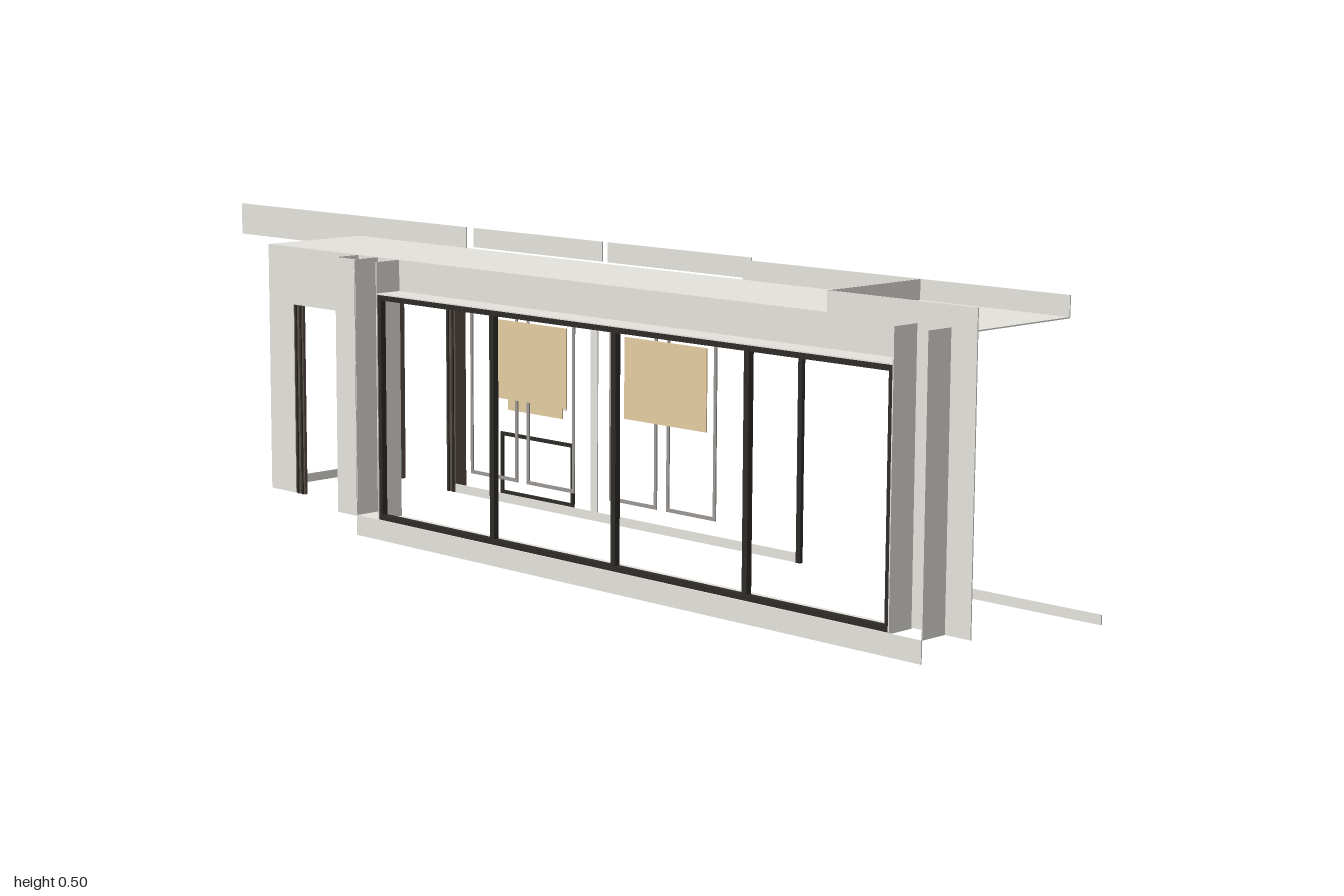
import * as THREE from 'three';

export function createModel() {
  const model = new THREE.Group();
  const mat = (name, color) => {
    const m = new THREE.MeshStandardMaterial({ color });
    m.name = name;
    return m;
  };
  const render = mat('paleGreyRender', 0xe5e3dd);
  const black = mat('blackMetal', 0x2e2b28);
  const brown = mat('darkBrownWood', 0x584c45);
  const tan = mat('tanPanel', 0xe5cea1);
  const trim = mat('greyTrim', 0x9b9894);
  const T = 0.002; // sheet thickness

  // Box given by its limits on each axis
  function box(name, m, x0, x1, y0, y1, z0, z1, parent = model) {
    const mesh = new THREE.Mesh(new THREE.BoxGeometry(x1 - x0, y1 - y0, z1 - z0), m);
    mesh.position.set((x0 + x1) / 2, (y0 + y1) / 2, (z0 + z1) / 2);
    mesh.name = name;
    parent.add(mesh);
    return mesh;
  }
  // Upright sheets: one facing z, one facing x
  const sheetZ = (name, m, x0, x1, y0, y1, z) => box(name, m, x0, x1, y0, y1, z - T / 2, z + T / 2);
  const sheetX = (name, m, x, y0, y1, z0, z1) => box(name, m, x - T / 2, x + T / 2, y0, y1, z0, z1);

  // Rectangular frame with bars of width w and depth d, optionally open at the foot
  function frame(name, m, x0, x1, y0, y1, z, w, d, sill = true) {
    const g = new THREE.Group();
    g.name = name;
    const a = z - d / 2, b = z + d / 2;
    box('leftBar', m, x1 - w, x1, y0, y1, a, b, g);
    box('rightBar', m, x0, x0 + w, y0, y1, a, b, g);
    box('topBar', m, x0 + w, x1 - w, y1 - w, y1, a, b, g);
    if (sill) box('bottomBar', m, x0 + w, x1 - w, y0, y0 + w, a, b, g);
    model.add(g);
    return g;
  }

  const F = 0.094, B = -0.111, BAY = 0.144; // front wall, back line, bay front
  const L = -0.63, R = 0.931, FLOOR = 0.034, CEIL = 0.465, TOP = 0.496, STEP = 0.66;

  // Front wall with a door opening, a wide window opening and a raised parapet at one end
  const wall = new THREE.Shape();
  wall.moveTo(L, FLOOR);
  [[-0.562, FLOOR], [-0.562, 0.365], [-0.385, 0.365], [-0.385, FLOOR], [-0.28, FLOOR], [-0.28, 0.41],
    [0.825, 0.41], [0.825, FLOOR], [R, FLOOR], [R, TOP], [STEP, TOP], [STEP, CEIL], [L, CEIL]]
    .forEach(([x, y]) => wall.lineTo(x, y));
  wall.closePath();
  const wallMesh = new THREE.Mesh(
    new THREE.ExtrudeGeometry(wall, { depth: T, bevelEnabled: false }), render);
  wallMesh.position.z = F - T / 2;
  wallMesh.name = 'frontWall';
  model.add(wallMesh);

  // Roof: flat deck, cross upstand and back parapet
  box('roofDeck', render, L, R, CEIL - T, CEIL, B, F);
  sheetX('roofUpstand', render, STEP, CEIL, TOP, B, F);
  sheetZ('backParapet', render, 0.305, R, CEIL, TOP, B);
  box('ceilingStrip', black, -0.4, -0.36, CEIL - 2 * T, CEIL - T, -0.016, -0.002);

  // Boards along the back of the roof, the last one running past the end
  sheetZ('longBoard', render, -1, -0.365, 0.441, 0.498, -0.13);
  sheetZ('backBoard', render, -0.345, -0.028, CEIL, 0.498, -0.13);
  sheetZ('backBoard', render, -0.015, 0.305, CEIL, 0.498, -0.13);

  // Projecting bay: fins, pier, sill, header and base
  for (const x of [-0.385, -0.335, -0.28, 0.825, 0.885]) sheetX('bayFin', render, x, FLOOR, CEIL, F, BAY);
  sheetZ('pierFront', render, -0.385, -0.335, FLOOR, CEIL, BAY);
  box('baySill', render, -0.385, 0.825, FLOOR - T, FLOOR, F, BAY);
  box('bayHeader', render, -0.28, 0.825, 0.411, 0.413, F, BAY);
  sheetZ('bayBase', render, -0.335, 0.885, 0, FLOOR, BAY);

  // Wide front window with three mullions
  const win = frame('frontWindow', black, -0.28, 0.825, FLOOR, 0.411, 0.137, 0.009, 0.01);
  for (const x of [0, 0.275, 0.549]) box('mullion', black, x - 0.005, x + 0.005, 0.04, 0.405, 0.132, 0.142, win);

  // Front and back side-door portals, each jamb brown with black edges
  function jamb(name, x0, x1, top, z0, z1) {
    const g = new THREE.Group();
    g.name = name;
    box('board', brown, x0, x1, FLOOR, top, z0, z1, g);
    for (const x of [x0 + 0.006, x1 - 0.006])
      box('edge', black, x - 0.002, x + 0.002, FLOOR, top, z0 - 0.002, z1 + 0.002, g);
    model.add(g);
  }
  jamb('frontDoorJamb', -0.562, -0.538, 0.365, 0.089, 0.094);
  jamb('frontDoorJamb', -0.403, -0.385, 0.365, 0.089, 0.094);
  jamb('backDoorJamb', -0.562, -0.538, 0.363, -0.135, B);
  jamb('backDoorJamb', -0.398, -0.374, 0.363, -0.135, B);
  box('backDoorHeader', render, -0.538, -0.398, 0.36, 0.363, -0.135, B);
  box('backDoorHeaderLining', black, -0.538, -0.398, 0.354, 0.36, -0.135, B);

  // Garden door at the back
  frame('backDoorFrame', black, 0.425, 0.662, FLOOR, 0.376, B, 0.009, 0.006, false);

  // Slim back window frames and the post between the pairs
  for (const [x0, x1] of [[0.14, 0.25], [0.008, 0.118], [-0.192, -0.075], [-0.335, -0.215]])
    frame('backWindowFrame', trim, x0, x1, 0.073, 0.413, -0.112, 0.006, 0.002);
  box('backPost', render, -0.036, -0.02, FLOOR, CEIL - T, -0.113, -0.111);

  // Hanging panels and the low rail frame
  sheetZ('widePanel', tan, -0.275, -0.09, 0.215, 0.35, -0.107);
  sheetZ('widePanel', tan, 0.048, 0.233, 0.215, 0.35, -0.107);
  sheetZ('outerPanel', tan, -0.265, -0.13, 0.19, 0.335, -0.136);
  sheetZ('outerPanelBack', render, -0.268, -0.127, 0.203, 0.34, -0.143);
  frame('lowRail', black, -0.285, -0.103, 0.042, 0.15, -0.137, 0.006, 0.004);

  // Floor kerb along the back and across the open end
  for (const [x0, x1] of [[L, -0.562], [-0.374, 0.425], [0.662, 1]])
    sheetZ('backKerb', render, x0, x1, FLOOR, 0.049, B);
  sheetX('endKerb', render, L + T / 2, FLOOR, 0.049, B, F);

  return model;
}
